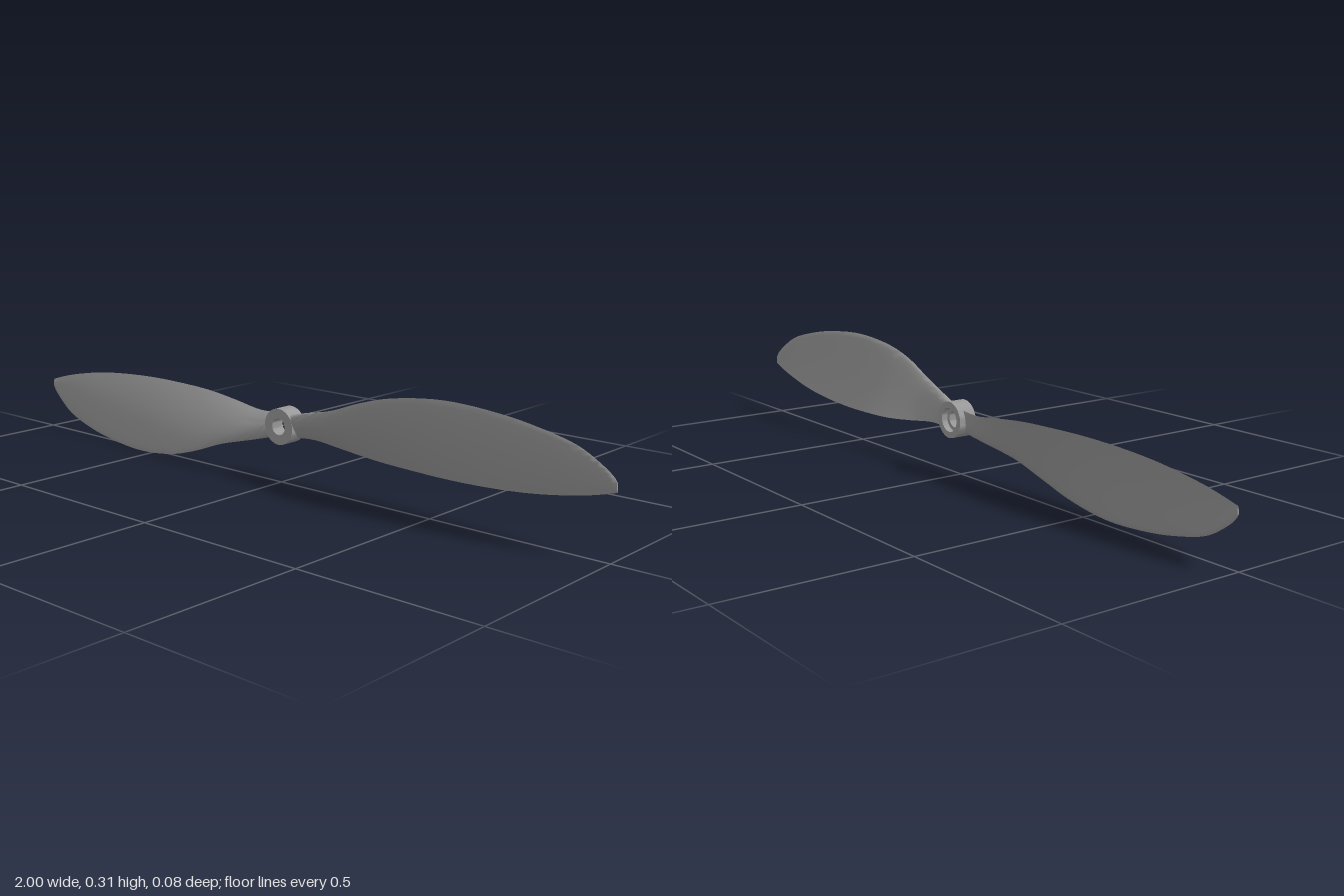
import * as THREE from 'three';
import { toCreasedNormals } from 'three/addons/utils/BufferGeometryUtils.js';

const CENTER_Y = 0.159;
const material = new THREE.MeshStandardMaterial({ color: 0x989898 });

// Blade stations: x, top y, top z, bottom y, bottom z, thickness (y relative to the hub axis)
const STATIONS = [
  [0.036, 0.036, 0.000, -0.030, -0.022, 0.032],
  [0.10, 0.053, 0.011, -0.027, -0.024, 0.025],
  [0.20, 0.078, 0.029, -0.039, -0.030, 0.018],
  [0.30, 0.114, 0.039, -0.050, -0.034, 0.014],
  [0.40, 0.141, 0.038, -0.055, -0.035, 0.013],
  [0.55, 0.157, 0.028, -0.057, -0.032, 0.012],
  [0.70, 0.147, 0.018, -0.050, -0.027, 0.010],
  [0.80, 0.130, 0.011, -0.039, -0.023, 0.009],
  [0.90, 0.102, 0.001, -0.021, -0.018, 0.007],
  [0.95, 0.074, -0.005, -0.009, -0.016, 0.006],
  [0.99, 0.043, -0.010, 0.003, -0.014, 0.005],
  [1.00, 0.029, -0.011, 0.006, -0.013, 0.005],
];

// Smooth value of one station column at parameter t
function columnCurve(col) {
  const curve = new THREE.CatmullRomCurve3(
    STATIONS.map((s) => new THREE.Vector3(s[0], s[col], 0)), false, 'centripetal');
  return (t) => curve.getPoint(t);
}

// Twisted airfoil lofted along x, convex towards the front
function bladeGeometry() {
  const curves = [1, 2, 3, 4, 5].map(columnCurve);
  const rows = 55, half = 12, ring = half * 2;
  const pos = [], index = [];
  for (let i = 0; i <= rows; i++) {
    const p = curves.map((c) => c(i / rows));
    const x = p[0].x;
    const [ty, tz, by, bz, thick] = p.map((v) => v.y);
    const dy = ty - by, dz = tz - bz, chord = Math.hypot(dy, dz);
    for (let j = 0; j < ring; j++) {
      const front = j < half;
      const a = (front ? j : ring - j) / half;
      const s = (1 - Math.cos(a * Math.PI)) / 2;
      const camber = 0.035 * chord * 4 * s * (1 - s);
      const h = 1.3 * thick * Math.sqrt(Math.max(0, 1 - s)) * s;
      const off = camber + (front ? h : -h);
      pos.push(x, by + dy * s - (dz / chord) * off, bz + dz * s + (dy / chord) * off);
    }
  }
  for (let i = 0; i < rows; i++) {
    for (let j = 0; j < ring; j++) {
      const k = (j + 1) % ring;
      const a = i * ring + j, b = a + ring, c = (i + 1) * ring + k, d = i * ring + k;
      index.push(a, b, c, a, c, d);
    }
  }
  // End caps
  const last = rows * ring;
  for (let j = 1; j < ring - 1; j++) {
    index.push(0, j, j + 1, last, last + j + 1, last + j);
  }
  const geo = new THREE.BufferGeometry();
  geo.setAttribute('position', new THREE.Float32BufferAttribute(pos, 3));
  geo.setIndex(index);
  return toCreasedNormals(geo, Math.PI / 4);
}

// Hub ring with a through hole and a counterbore at the back; axis turned to z
function hubGeometry() {
  const profile = [
    [0.033, -0.040], [0.050, -0.040], [0.050, 0.012], [0.023, 0.012],
    [0.023, -0.022], [0.033, -0.022], [0.033, -0.040],
  ].map(([r, z]) => new THREE.Vector2(r, z));
  const geo = new THREE.LatheGeometry(profile, 40);
  geo.rotateX(Math.PI / 2);
  return toCreasedNormals(geo, Math.PI / 6);
}

export function createModel() {
  const model = new THREE.Group();
  model.name = 'propeller';

  const hub = new THREE.Mesh(hubGeometry(), material);
  hub.name = 'hub';
  hub.position.y = CENTER_Y;
  model.add(hub);

  // Two blades, half a turn apart
  const blade = bladeGeometry();
  ['leftBlade', 'rightBlade'].forEach((name, i) => {
    const mesh = new THREE.Mesh(blade, material);
    mesh.name = name;
    mesh.position.y = CENTER_Y;
    mesh.rotation.z = i * Math.PI;
    model.add(mesh);
  });
  return model;
}
